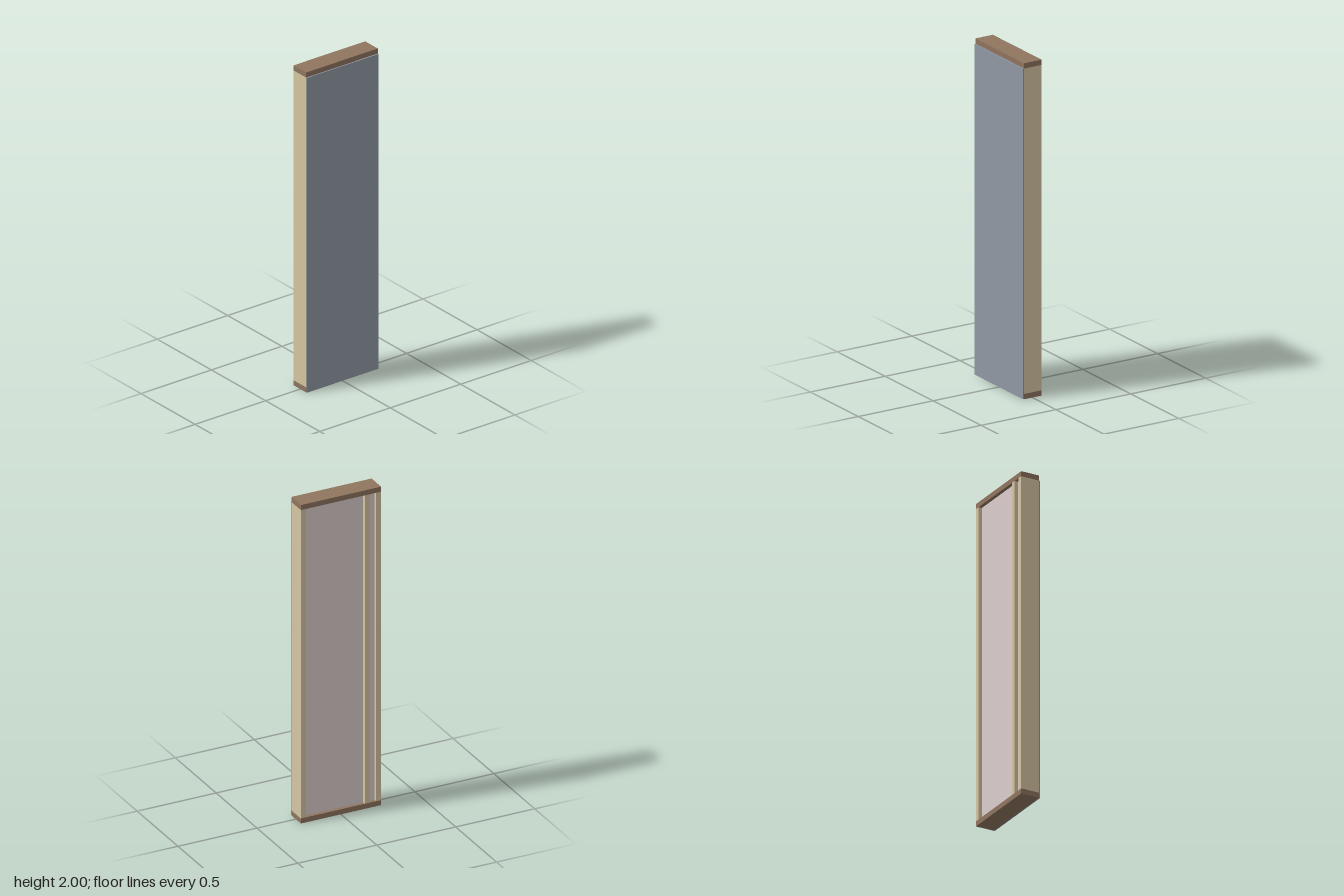
import * as THREE from 'three';

// Framed wall panel: plates, studs, insulation and front sheathing
export function createModel() {
  const group = new THREE.Group();
  const material = (color) => new THREE.MeshStandardMaterial({ color });
  const plateMat = material(0x8f755f);
  const studMat = material(0xd6c6a2);
  const insulationMat = material(0xdccdce);
  const sheathingMat = material(0x9098a4);

  const halfW = 0.254, t = 0.0315;         // half width, timber thickness
  const back = -0.062, front = 0.0545;     // timber depth range
  const skin = 0.0075;                     // sheathing thickness

  // Box given by its range on each axis
  function block(name, mat, [x0, x1], [y0, y1], [z0, z1]) {
    const mesh = new THREE.Mesh(new THREE.BoxGeometry(x1 - x0, y1 - y0, z1 - z0), mat);
    mesh.position.set((x0 + x1) / 2, (y0 + y1) / 2, (z0 + z1) / 2);
    mesh.name = name;
    group.add(mesh);
  }

  // Plates
  block('bottomPlate', plateMat, [-halfW, halfW], [0, t], [back, front]);
  block('topPlate', plateMat, [-halfW, halfW], [2 - t, 2], [back, front]);

  // Studs, from right to left
  const studs = [['rightStud', -halfW], ['middleStud', -0.182], ['leftStud', halfW - t]];
  for (const [name, x] of studs) {
    block(name, studMat, [x, x + t], [t, 2 - t], [back, front]);
  }

  // Insulation in each bay, recessed from the back of the studs
  for (let i = 0; i < studs.length - 1; i++) {
    block('insulation' + (i + 1), insulationMat,
      [studs[i][1] + t, studs[i + 1][1]], [t, 2 - t], [back + 0.021, front]);
  }

  // Front sheathing, stopping below the top plate
  block('sheathing', sheathingMat, [-halfW + 0.001, halfW - 0.001], [0.001, 2 - t], [front, front + skin]);

  return group;
}
